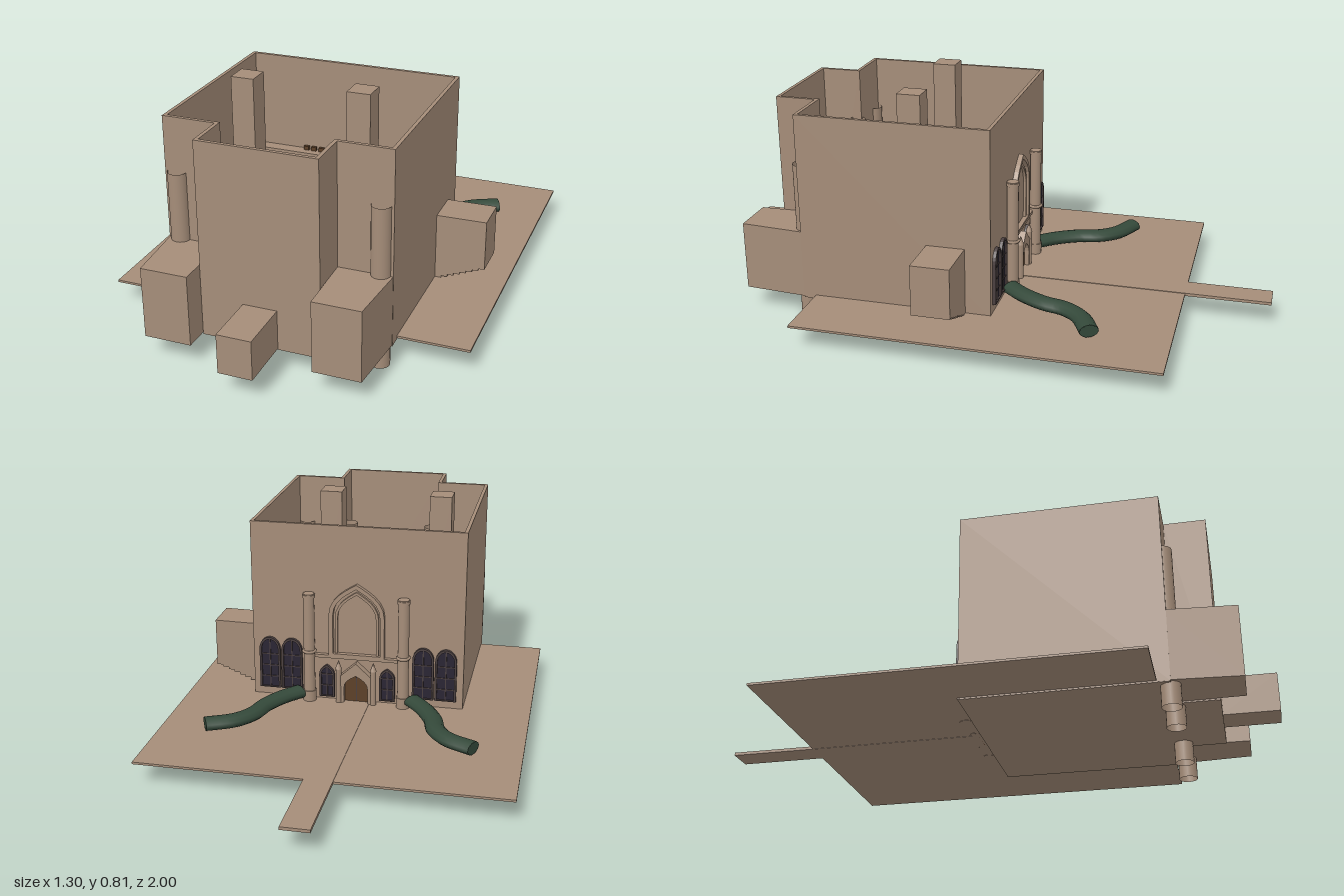
import * as THREE from 'three';

const mat = (name, color) => {
  const m = new THREE.MeshStandardMaterial({ color, side: THREE.DoubleSide });
  m.name = name;
  return m;
};

export function createModel() {
  const model = new THREE.Group();
  const stone = mat('stone', 0xa58d79);
  const green = mat('hedge green', 0x34493a);
  const glass = mat('dark glass', 0x292433);
  const leading = mat('window leading', 0x4b4040);
  const wood = mat('dark wood', 0x5c4028);

  const add = (name, geometry, material = stone, parent = model) => {
    const mesh = new THREE.Mesh(geometry, material);
    mesh.name = name;
    parent.add(mesh);
    return mesh;
  };
  // box given by its limits
  const box = (name, x0, x1, y0, y1, z0, z1, material, parent) => {
    const g = new THREE.BoxGeometry(x1 - x0, y1 - y0, z1 - z0);
    g.translate((x0 + x1) / 2, (y0 + y1) / 2, (z0 + z1) / 2);
    return add(name, g, material, parent);
  };
  const outline = pts => new THREE.Shape(pts.map(p => new THREE.Vector2(...p)));
  // extrude a plan outline of [x, z] points from y0 to y1
  const plan = (name, pts, y0, y1, hole) => {
    const flip = list => list.map(([x, z]) => [x, -z]);
    const shape = outline(flip(pts));
    if (hole) shape.holes.push(outline(flip(hole)));
    const g = new THREE.ExtrudeGeometry(shape, { depth: y1 - y0, bevelEnabled: false });
    g.rotateX(-Math.PI / 2).translate(0, y0, 0);
    return add(name, g);
  };
  // pointed or round-headed arch, centred on x, from y0 up to the apex
  const archPath = (x, w, y0, spring, apex, pointed, Type = THREE.Shape) => {
    const p = new Type();
    const k = pointed ? 0.7 : 1;
    const h = w / 2, r = apex - spring;
    p.moveTo(x - h, y0);
    p.lineTo(x + h, y0);
    p.lineTo(x + h, spring);
    p.bezierCurveTo(x + h, spring + r * 0.55, x + h * 0.55 * k, spring + r * (pointed ? 0.8 : 1), x, apex);
    p.bezierCurveTo(x - h * 0.55 * k, spring + r * (pointed ? 0.8 : 1), x - h, spring + r * 0.55, x - h, spring);
    p.closePath();
    return p;
  };
  const panel = (name, shape, z0, z1, material, parent) => {
    const g = new THREE.ExtrudeGeometry(shape, { depth: z1 - z0, bevelEnabled: false, curveSegments: 6 });
    g.translate(0, 0, z0);
    return add(name, g, material, parent);
  };
  const archFrame = (name, x, w, t, y0, spring, apex, pointed, z0, z1, material, parent) => {
    const shape = archPath(x, w, y0, spring, apex, pointed);
    shape.holes.push(archPath(x, w - 2 * t, y0 + t * 0.5, spring, apex - t * 1.1, pointed, THREE.Path));
    return panel(name, shape, z0, z1, material, parent);
  };

  // ground and path
  box('ground', -0.65, 0.65, 0.081, 0.089, -0.69, 0.61);
  box('path', -0.05, 0.05, 0.08, 0.091, -1, -0.06);

  // roofless hall with a projecting bay
  const footprint = (i) => [
    [-0.4 + i, -0.05 + i], [0.4 - i, -0.05 + i], [0.4 - i, 0.655 - i], [0.21 - i, 0.655 - i],
    [0.21 - i, 0.805 - i], [-0.21 + i, 0.805 - i], [-0.21 + i, 0.655 - i], [-0.4 + i, 0.655 - i]];
  plan('hallWalls', footprint(0), 0.076, 0.772, footprint(0.013));
  plan('hallBase', footprint(0.001), 0.075, 0.085);
  plan('upperFloor', footprint(0.01), 0.39, 0.4);
  box('rearLedge', -0.385, 0.385, 0.4, 0.415, -0.04, 0.01);
  for (let i = 0; i < 13; i++) {
    const x = -0.18 + i * 0.03;
    box('ledgeTooth', x - 0.01, x + 0.01, 0.415, 0.43, -0.03, -0.018, wood);
  }

  // pillars rising through the hall
  for (const x of [-0.26, 0.165])
    box('squarePillar', x - 0.042, x + 0.042, 0.4, 0.815, 0.258, 0.345);

  // open tubular columns along the front wall
  for (const x of [-0.357, -0.176, 0.176, 0.357]) {
    const g = new THREE.CylinderGeometry(0.034, 0.034, 0.58, 20, 1, true);
    g.translate(x, 0.29, 0.652);
    add('tubeColumn', g);
  }

  // front annexes
  for (const s of [-1, 1]) {
    plan('cornerAnnex', [[0.21 * s, 0.645], [0.4 * s, 0.645], [0.38 * s, 0.89], [0.213 * s, 0.89]], 0.08, 0.333);
    box('floorHatch', s * 0.12 - 0.03, s * 0.12 + 0.03, 0.4, 0.407, 0.66, 0.79, wood);
  }
  box('frontPorch', -0.06, 0.06, 0.08, 0.22, 0.8, 1);

  // side wing on a stepped corbel
  const wing = [[0.39, 0.333], [0.39, 0.085]];
  for (let i = 0; i < 8; i++) {
    const x = 0.4 + i * 0.0225, y = 0.087 + i * 0.009;
    wing.push([x, y], [x + 0.0225, y]);
  }
  wing.push([0.58, 0.15], [0.58, 0.335]);
  const wingGeometry = new THREE.ExtrudeGeometry(outline(wing), { depth: 0.14, bevelEnabled: false });
  wingGeometry.translate(0, 0, 0.043);
  add('sideWing', wingGeometry);

  // rear facade
  const facade = new THREE.Group();
  facade.name = 'rearFacade';
  model.add(facade);
  const archWindow = (x, w, y0, spring, apex, pointed) => {
    panel('windowGlass', archPath(x, w, y0, spring, apex, pointed), -0.055, -0.049, glass, facade);
    archFrame('windowFrame', x, w + 0.008, 0.008, y0, spring, apex + 0.004, pointed, -0.062, -0.049, leading, facade);
    box('mullion', x - 0.002, x + 0.002, y0, apex - 0.005, -0.059, -0.05, leading, facade);
    for (let y = y0 + 0.045; y < spring + 0.01; y += 0.045)
      box('glazingBar', x - w / 2, x + w / 2, y - 0.002, y + 0.002, -0.058, -0.05, leading, facade);
  };
  const column = (name, x, z, r, y0, y1, sides) => {
    const g = new THREE.CylinderGeometry(r, r, y1 - y0, sides);
    g.translate(x, (y0 + y1) / 2, z);
    return add(name, g, stone, facade);
  };
  for (const s of [-1, 1]) {
    archWindow(s * 0.335, 0.072, 0.12, 0.275, 0.32, false);
    archWindow(s * 0.25, 0.072, 0.12, 0.275, 0.32, false);
    archWindow(s * 0.115, 0.05, 0.1, 0.19, 0.225, true);

    // tall round shaft with base, ring and cap
    column('facadeColumn', s * 0.178, -0.073, 0.021, 0.08, 0.515, 16);
    column('columnBase', s * 0.178, -0.073, 0.025, 0.08, 0.13, 16);
    column('columnCap', s * 0.178, -0.073, 0.024, 0.5, 0.512, 16);
    const ring = new THREE.TorusGeometry(0.022, 0.006, 6, 16);
    ring.rotateX(Math.PI / 2).translate(s * 0.178, 0.288, -0.073);
    add('columnRing', ring, stone, facade);

    // portal pinnacle
    column('portalShaft', s * 0.066, -0.075, 0.011, 0.08, 0.225, 8);
    const tip = new THREE.ConeGeometry(0.013, 0.035, 8);
    tip.translate(s * 0.066, 0.242, -0.075);
    add('portalPinnacle', tip, stone, facade);
  }
  box('stringCourse', -0.18, 0.18, 0.26, 0.272, -0.066, -0.045, stone, facade);
  archFrame('tallArchOuter', 0, 0.21, 0.016, 0.272, 0.43, 0.556, true, -0.068, -0.045, stone, facade);
  archFrame('tallArchInner', 0, 0.165, 0.01, 0.275, 0.42, 0.525, true, -0.06, -0.045, stone, facade);

  // gabled portal
  const gable = outline([[-0.066, 0.08], [0.066, 0.08], [0.066, 0.19], [0, 0.25], [-0.066, 0.19]]);
  gable.holes.push(archPath(0, 0.09, 0.082, 0.15, 0.2, true, THREE.Path));
  panel('portalGable', gable, -0.08, -0.045, stone, facade);
  panel('portalDoor', archPath(0, 0.094, 0.08, 0.15, 0.202, true), -0.062, -0.055, wood, facade);
  box('doorSplit', -0.002, 0.002, 0.092, 0.19, -0.065, -0.06, leading, facade);

  // winding hedges beside the path
  for (const s of [-1, 1]) {
    const curve = new THREE.CatmullRomCurve3([
      [0.215, -0.075], [0.265, -0.135], [0.312, -0.22], [0.335, -0.3], [0.385, -0.365], [0.48, -0.415],
    ].map(([x, z]) => new THREE.Vector3(x * s, 0, z)));
    const hedge = new THREE.Group();
    hedge.name = 'hedge';
    hedge.position.y = 0.118;
    hedge.scale.y = 0.66;
    model.add(hedge);
    add('hedgeBody', new THREE.TubeGeometry(curve, 18, 0.035, 10), green, hedge);
    for (const t of [0, 1]) {
      const cap = add('hedgeEnd', new THREE.CircleGeometry(0.035, 10), green, hedge);
      cap.position.copy(curve.getPointAt(t));
      const d = curve.getTangentAt(t);
      cap.rotation.y = Math.atan2(d.x, d.z);
    }
  }
  return model;
}
